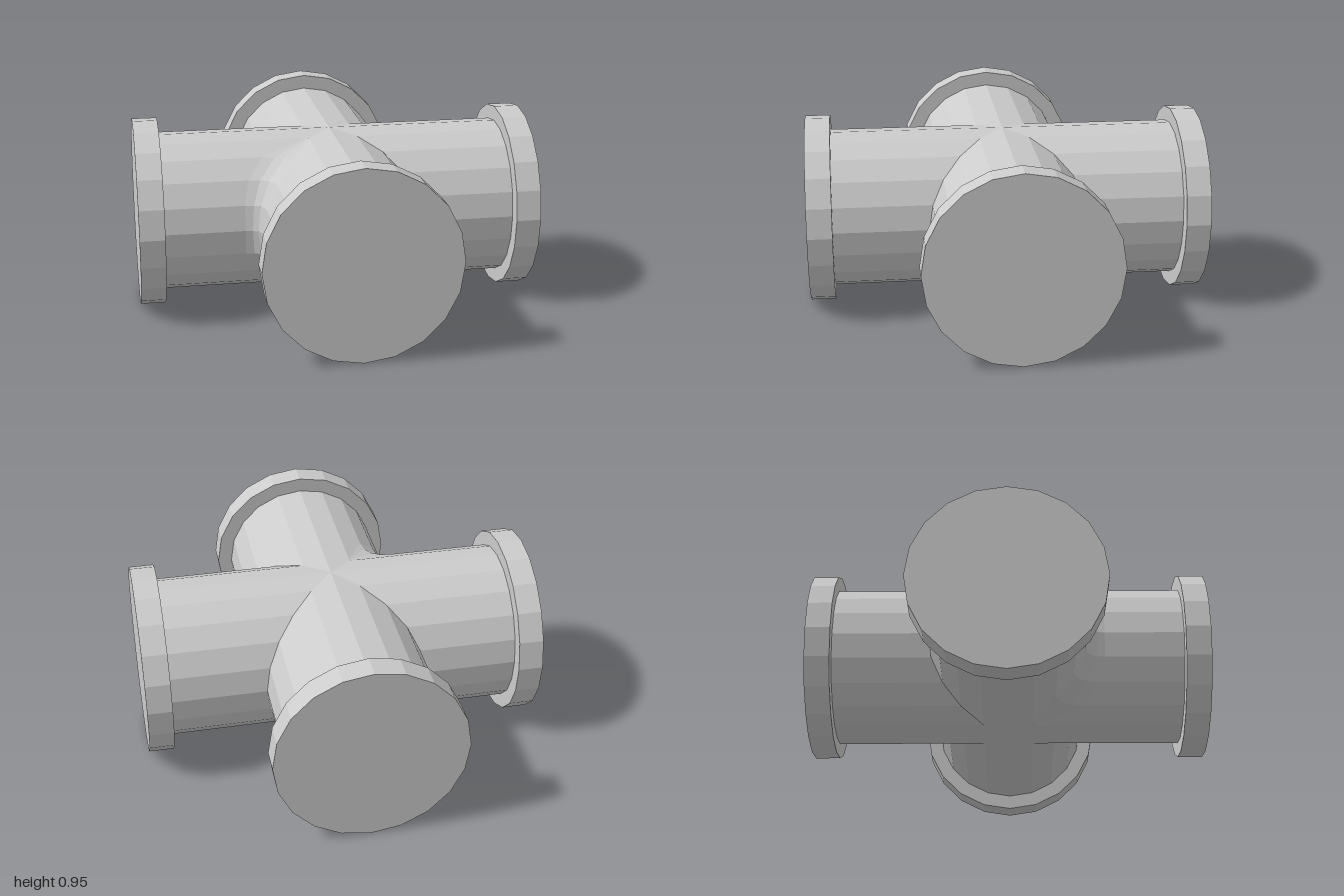
import * as THREE from 'three';

const SIDES = 20, PIPE_R = 0.4, FLANGE_R = 0.474, FLANGE_T = 0.125, AXIS_Y = 0.475;

// One pipe arm along +z, its inner end mitred at 45 degrees to meet its neighbours
function pipeGeometry() {
  const geo = new THREE.CylinderGeometry(PIPE_R, PIPE_R, 1, SIDES, 1, true);
  geo.rotateX(Math.PI / 2);
  const p = geo.attributes.position;
  for (let i = 0; i < p.count; i++) {
    p.setZ(i, p.getZ(i) > 0 ? 1 - FLANGE_T : Math.abs(p.getX(i)));
  }
  geo.computeVertexNormals();
  return geo;
}

// Thin fillet web along one crease, lofted from curved cross-sections
function filletGeometry() {
  const spread = [0.08, 0.1, 0.13, 0.14, 0.02];
  const steps = 4, pos = [], index = [];
  for (let k = -4; k <= 4; k++) {
    const a = (k * Math.PI * 2) / SIDES;
    const c = PIPE_R * Math.cos(a), y = PIPE_R * Math.sin(a), d = spread[Math.abs(k)];
    const curve = new THREE.QuadraticBezierCurve3(
      new THREE.Vector3(-c - d, y, c),
      new THREE.Vector3(-c, y, c),
      new THREE.Vector3(-c, y, c + d));
    for (const v of curve.getPoints(steps)) pos.push(v.x, v.y, v.z);
  }
  const row = steps + 1;
  for (let k = 0; k < 8; k++) {
    for (let j = 0; j < steps; j++) {
      const a = k * row + j, b = a + 1, c = a + row, d = c + 1;
      index.push(a, b, d, a, d, c);
    }
  }
  const geo = new THREE.BufferGeometry();
  geo.setAttribute('position', new THREE.Float32BufferAttribute(pos, 3));
  geo.setIndex(index);
  geo.computeVertexNormals();
  return geo;
}

export function createModel() {
  const model = new THREE.Group();
  model.name = 'crossFitting';
  const grey = new THREE.MeshStandardMaterial({ color: 0xcccccc, flatShading: true });
  const greyOpen = new THREE.MeshStandardMaterial({
    color: 0xcccccc, flatShading: true, side: THREE.DoubleSide });

  const pipeGeo = pipeGeometry();
  const flangeGeo = new THREE.CylinderGeometry(FLANGE_R, FLANGE_R, FLANGE_T, SIDES);
  flangeGeo.rotateX(Math.PI / 2);
  flangeGeo.translate(0, 0, 1 - FLANGE_T / 2);

  // Four identical arms, each with a capped end flange
  ['front', 'left', 'back', 'right'].forEach((side, i) => {
    const arm = new THREE.Group();
    arm.name = side + 'Arm';
    const pipe = new THREE.Mesh(pipeGeo, greyOpen);
    pipe.name = side + 'Pipe';
    const flange = new THREE.Mesh(flangeGeo, grey);
    flange.name = side + 'Flange';
    arm.add(pipe, flange);
    arm.rotation.y = (i * Math.PI) / 2;
    arm.position.y = AXIS_Y;
    model.add(arm);
  });

  // Fillet in the crease between the front and right arms
  const fillet = new THREE.Mesh(filletGeometry(), greyOpen);
  fillet.name = 'creaseFillet';
  fillet.position.y = AXIS_Y;
  model.add(fillet);

  return model;
}
